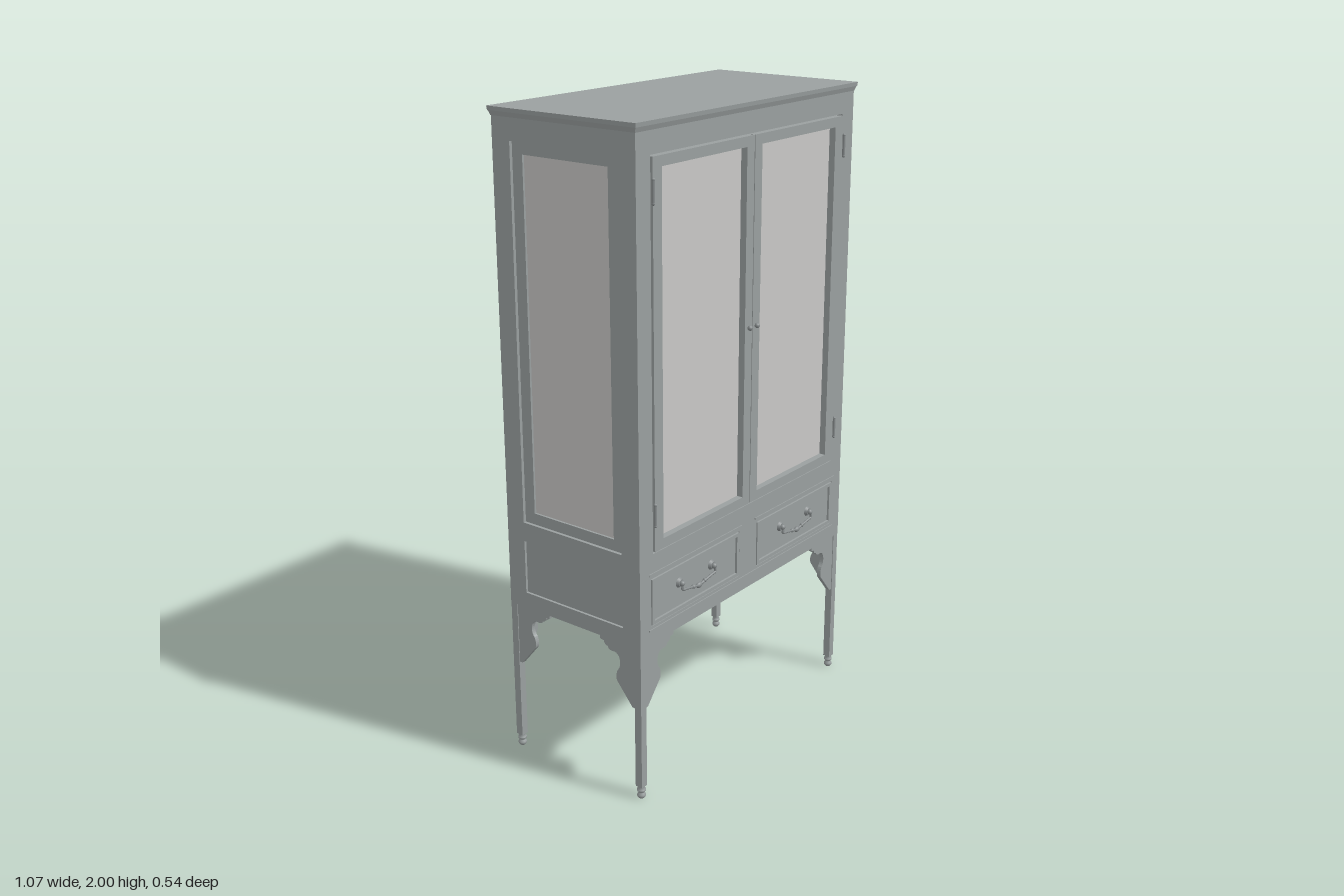
import * as THREE from 'three';

const W = 0.525, D = 0.2555;          // half width and half depth of the case
const BOTTOM = 0.5, TOP = 1.978;      // case height range
const SKIN = 0.022;                   // thickness of the panelled walls

const paint = new THREE.MeshStandardMaterial({ color: 0x9aa0a0 });
paint.name = 'grey paint';
const glass = new THREE.MeshStandardMaterial({ color: 0xc9c8c6 });
glass.name = 'pale glass';
const metal = new THREE.MeshStandardMaterial({ color: 0x878c8d });
metal.name = 'dull metal';

function add(parent, name, geometry, material, x = 0, y = 0, z = 0) {
  const mesh = new THREE.Mesh(geometry, material);
  mesh.name = name;
  mesh.position.set(x, y, z);
  parent.add(mesh);
  return mesh;
}

// Rectangles are [x0, y0, x1, y1]
function trace(path, [x0, y0, x1, y1]) {
  path.moveTo(x0, y0);
  path.lineTo(x1, y0);
  path.lineTo(x1, y1);
  path.lineTo(x0, y1);
  path.closePath();
  return path;
}

// Flat board with rectangular openings, from z = back to z = front
function board(parent, name, rect, holes, back, front, material = paint) {
  const shape = trace(new THREE.Shape(), rect);
  shape.holes = holes.map((h) => trace(new THREE.Path(), h));
  const geo = new THREE.ExtrudeGeometry(shape, { depth: front - back, bevelEnabled: false });
  return add(parent, name, geo, material, 0, 0, back);
}

const inset = ([a, b, c, d], t) => [a + t, b + t, c - t, d - t];

// Back and side walls: framed glass above, a sunken panel below
function wall(name, half, open, panes, distance, angle) {
  const g = new THREE.Group();
  g.name = name;
  const upper = [-open, 0.78, open, 1.91], lower = [-open, 0.55, open, 0.72];
  const f = distance, b = distance - SKIN;
  board(g, 'outerFrame', [-half, BOTTOM, half, TOP], [upper, lower], b, f);
  board(g, 'innerFrame', upper, panes, b, f - 0.01);
  board(g, 'lowerPanel', lower, [], b, f - 0.008);
  panes.forEach((p) => board(g, 'glassPane', p, [], b, b + 0.005, glass));
  g.rotation.y = angle;
  return g;
}

function frontWall() {
  const g = new THREE.Group();
  g.name = 'frontWall';
  const b = D - SKIN;
  const doorway = [-0.465, 0.78, 0.465, 1.91];
  const drawers = [[-0.475, 0.555, -0.045, 0.705], [0.045, 0.555, 0.475, 0.705]];
  board(g, 'faceFrame', [-W, BOTTOM, W, TOP], [doorway, ...drawers], b, D);

  // Pair of glazed doors with knobs and hinges
  for (const s of [-1, 1]) {
    const span = (i, o, y0, y1) => (s > 0 ? [i, y0, o, y1] : [-o, y0, -i, y1]);
    const pane = span(0.037, 0.422, 0.815, 1.875);
    board(g, 'door', span(0.0015, 0.46, 0.785, 1.905), [pane], b, D + 0.004);
    board(g, 'doorGlass', pane, [], b, b + 0.005, glass);
    const knob = new THREE.SphereGeometry(0.008, 14, 10);
    add(g, 'doorKnob', knob, metal, s * 0.018, 1.345, D + 0.009);
    for (const y of [0.9, 1.815]) {
      add(g, 'hingeBarrel', new THREE.CylinderGeometry(0.0045, 0.0045, 0.06, 10), metal, s * 0.464, y, D + 0.009);
      for (const e of [-1, 1])
        add(g, 'hingeTip', new THREE.SphereGeometry(0.005, 10, 8), metal, s * 0.464, y + e * 0.032, D + 0.009);
    }
  }

  // Drawer fronts with a stepped border, rail beads and swing handles
  for (const r of drawers) {
    const face = inset(r, 0.003);
    board(g, 'drawerBorder', face, [inset(face, 0.011)], b, D + 0.002);
    board(g, 'drawerFront', inset(face, 0.01), [], b, D - 0.005);
    const mid = (r[0] + r[2]) / 2;
    add(g, 'drawerBead', new THREE.BoxGeometry(0.45, 0.006, 0.006), paint, mid, 0.719, D);
    const h = handle();
    h.position.set(mid, 0.63, D - 0.005);
    g.add(h);
  }
  add(g, 'lowerBead', new THREE.BoxGeometry(0.97, 0.006, 0.006), paint, 0, 0.543, D);
  return g;
}

function handle() {
  const g = new THREE.Group();
  g.name = 'drawerHandle';
  for (const s of [-1, 1]) {
    const plate = add(g, 'rosette', new THREE.CylinderGeometry(0.011, 0.016, 0.008, 16), metal, s * 0.078, 0.012, 0.004);
    plate.rotation.x = Math.PI / 2;
    add(g, 'post', new THREE.SphereGeometry(0.009, 12, 8), metal, s * 0.078, 0.012, 0.011);
    add(g, 'bailBead', new THREE.SphereGeometry(0.0065, 12, 8), metal, s * 0.028, -0.016, 0.014);
  }
  const pts = [[-0.078, 0.01], [-0.08, -0.006], [-0.062, -0.01], [-0.03, -0.016], [0, -0.021],
    [0.03, -0.016], [0.062, -0.01], [0.08, -0.006], [0.078, 0.01]];
  const path = new THREE.CatmullRomCurve3(pts.map(([x, y]) => new THREE.Vector3(x, y, 0.014)));
  add(g, 'bail', new THREE.TubeGeometry(path, 40, 0.004, 8), metal);
  const boss = add(g, 'bailCentre', new THREE.SphereGeometry(0.009, 12, 8), metal, 0, -0.021, 0.014);
  boss.scale.set(1.5, 1, 0.8);
  return g;
}

// Slab whose lower face is smaller than its upper face
function slab(y0, y1, grow0, grow1) {
  const geo = new THREE.BoxGeometry(2, y1 - y0, 2);
  const p = geo.attributes.position;
  for (let i = 0; i < p.count; i++) {
    const grow = p.getY(i) < 0 ? grow0 : grow1;
    p.setX(i, p.getX(i) * (W + grow));
    p.setZ(i, p.getZ(i) * (D + grow));
  }
  geo.computeVertexNormals();
  return geo.translate(0, (y0 + y1) / 2, 0);
}

// Scalloped corner bracket; x is measured inward from the case corner
function bracketGeometry() {
  const s = new THREE.Shape();
  s.moveTo(0.015, 0.3);
  s.lineTo(0.035, 0.3);
  s.lineTo(0.093, 0.37);
  s.quadraticCurveTo(0.099, 0.385, 0.09, 0.405);
  s.quadraticCurveTo(0.078, 0.418, 0.08, 0.437);
  s.quadraticCurveTo(0.085, 0.465, 0.108, 0.461);
  s.quadraticCurveTo(0.126, 0.461, 0.127, 0.472);
  s.quadraticCurveTo(0.14, 0.472, 0.141, 0.486);
  s.lineTo(0.155, 0.487);
  s.lineTo(0.157, 0.502);
  s.lineTo(0.015, 0.502);
  s.closePath();
  return new THREE.ExtrudeGeometry(s, { depth: 0.014, bevelEnabled: false, curveSegments: 6 });
}

function legs(parent) {
  const foot = [[0, 0], [0.009, 0], [0.013, 0.006], [0.013, 0.012], [0.009, 0.017], [0.009, 0.02],
    [0.0135, 0.024], [0.0135, 0.029], [0.009, 0.033], [0.012, 0.04], [0.012, 0.046], [0, 0.046]]
    .map(([x, y]) => new THREE.Vector2(x, y));
  const bracket = bracketGeometry();
  const t = 0.0125;
  for (const sx of [-1, 1]) for (const sz of [-1, 1]) {
    const leg = new THREE.Group();
    leg.name = sz > 0 ? 'frontLeg' : 'backLeg';
    add(leg, 'legPost', new THREE.BoxGeometry(0.024, 0.463, 0.024), paint, sx * (W - t), 0.2715, sz * (D - t));
    add(leg, 'turnedFoot', new THREE.LatheGeometry(foot, 16), paint, sx * (W - t), 0, sz * (D - t));
    // One bracket along the width and one along the depth, turned so faces stay outward
    const placeBracket = (name, alongX) => {
      const a = bracket.clone();
      const p = a.attributes.position;
      for (let i = 0; i < p.count; i++) {
        const u = p.getX(i), out = 0.003 + p.getZ(i);
        if (alongX) p.setXYZ(i, sx * (W - u), p.getY(i), sz * (D - out));
        else p.setXYZ(i, sx * (W - out), p.getY(i), sz * (D - u));
      }
      // Swap two corners of each triangle where the mapping mirrors the shape
      if ((sx * sz < 0) === alongX) {
        const v = new THREE.Vector3(), w = new THREE.Vector3();
        for (let i = 0; i < p.count; i += 3) {
          v.fromBufferAttribute(p, i + 1);
          w.fromBufferAttribute(p, i + 2);
          p.setXYZ(i + 1, w.x, w.y, w.z);
          p.setXYZ(i + 2, v.x, v.y, v.z);
        }
      }
      a.computeVertexNormals();
      add(leg, name, a, paint);
    };
    placeBracket('widthBracket', true);
    placeBracket('depthBracket', false);
    parent.add(leg);
  }
}

export function createModel() {
  const model = new THREE.Group();
  model.name = 'displayCabinet';
  const height = TOP - BOTTOM;

  // Solid core behind the panelled walls
  add(model, 'caseCore', new THREE.BoxGeometry(2 * (W - SKIN), height, 2 * (D - SKIN)), paint, 0, BOTTOM + height / 2, 0);
  model.add(frontWall());
  const backPanes = [[-0.422, 0.815, -0.037, 1.875], [0.037, 0.815, 0.422, 1.875]];
  model.add(wall('backWall', W, 0.465, backPanes, D, Math.PI));
  const sidePane = [[-0.153, 0.815, 0.153, 1.875]];
  model.add(wall('leftWall', D - SKIN, 0.19, sidePane, W, Math.PI / 2));
  model.add(wall('rightWall', D - SKIN, 0.19, sidePane, W, -Math.PI / 2));

  // Cornice
  add(model, 'corniceCove', slab(1.974, 1.988, 0.001, 0.006), paint);
  add(model, 'corniceTop', slab(1.988, 2, 0.007, 0.0085), paint);

  legs(model);
  model.position.z = -0.0075;
  return model;
}
